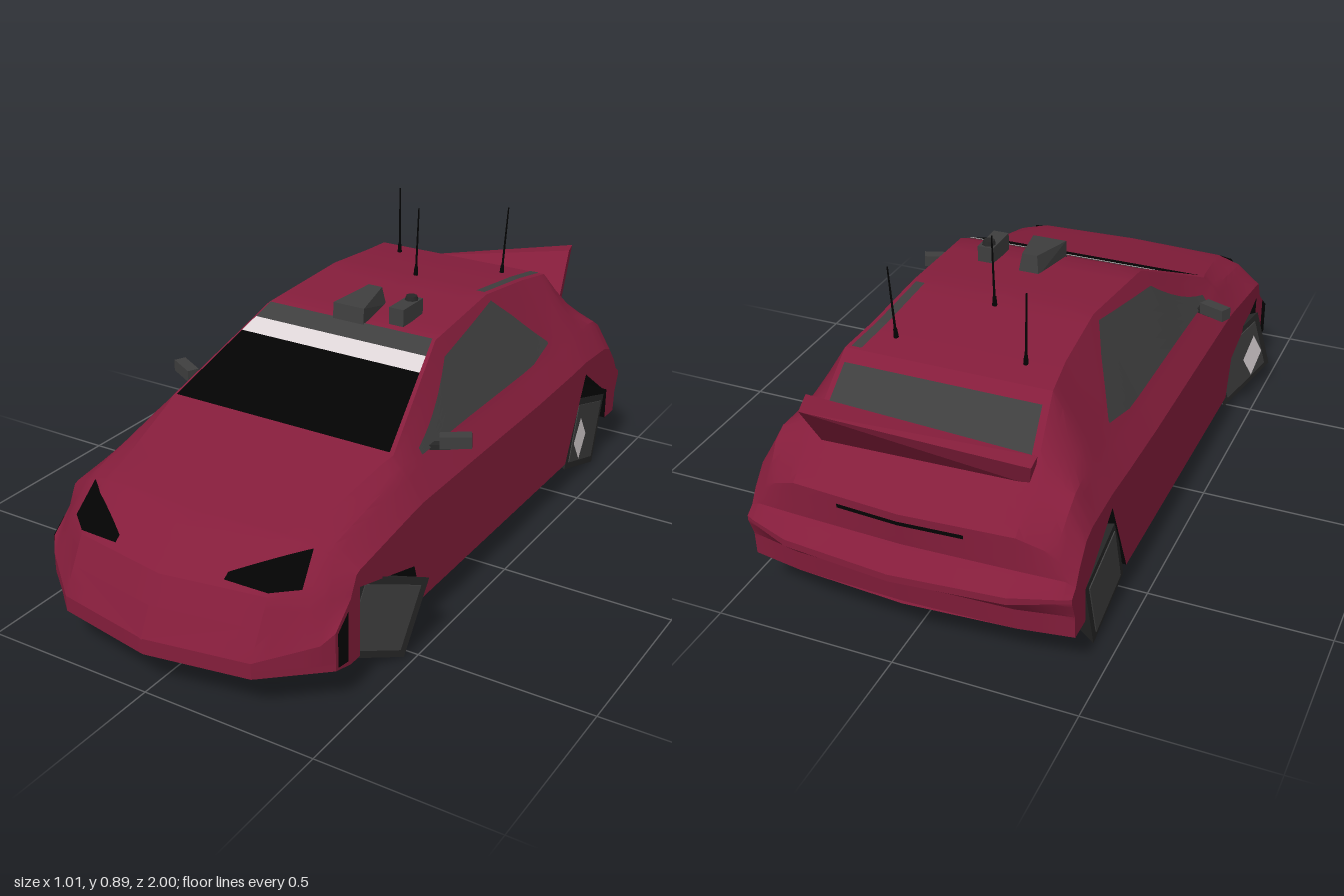
import * as THREE from 'three';
import { toCreasedNormals } from 'three/addons/utils/BufferGeometryUtils.js';
import { ConvexGeometry } from 'three/addons/geometries/ConvexGeometry.js';

const material = (name, color, side = THREE.FrontSide) => {
  const m = new THREE.MeshStandardMaterial({ color, side });
  m.name = name;
  return m;
};

// Body stations, front to back: z, top height, top half width,
// belt half width, belt height, sill height, corner sweep
const STATIONS = [
  [1.0, 0.165, 0.29, 0.42, 0.2, 0.12, 0.17],
  [0.92, 0.31, 0.29, 0.4, 0.3, 0.1, 0.16],
  [0.76, 0.405, 0.3, 0.37, 0.39, 0.1, 0.04],
  [0.7, 0.42, 0.305, 0.375, 0.4, 0.1],
  [0.7, 0.42, 0.305, 0.375, 0.4, 0.3],
  [0.43, 0.49, 0.345, 0.385, 0.46, 0.22],
  [0.39, 0.5, 0.355, 0.387, 0.467, 0.1],
  [0.03, 0.675, 0.275, 0.387, 0.47, 0.1],
  [-0.3, 0.698, 0.26, 0.387, 0.47, 0.1],
  [-0.52, 0.675, 0.27, 0.387, 0.48, 0.1],
  [-0.64, 0.66, 0.285, 0.39, 0.49, 0.36],
  [-0.78, 0.52, 0.3, 0.4, 0.48, 0.26],
  [-0.82, 0.485, 0.3, 0.4, 0.455, 0.24],
  [-0.82, 0.485, 0.3, 0.4, 0.455, 0.14],
  [-0.93, 0.41, 0.3, 0.39, 0.37, 0.14, 0.06],
  [-0.92, 0.315, 0.3, 0.42, 0.305, 0.14, 0.03],
  [-0.93, 0.311, 0.3, 0.42, 0.301, 0.205, 0.036],
  [-1.0, 0.28, 0.3, 0.42, 0.275, 0.26, 0.08],
];
const SIDE = 0.445;

// Half ring of one station, from top centre round to bottom centre
const halfRing = ([z, top, topX, beltX, belt, sill, sweep = 0]) => {
  const shoulder = belt - 0.4 * (belt - 0.27);
  return [[0, top], [topX, top], [beltX, belt], [SIDE, shoulder], [SIDE, sill], [topX, sill], [0, sill]].map(([x, y]) =>
    new THREE.Vector3(x, y, z - Math.sign(z) * sweep * (x / 0.43) ** 3));
};
// End rings are flattened to a line to close the body
const closed = (station) => halfRing(station).map((p) => p.setY((station[1] + station[5]) / 2));
const HALVES = [closed(STATIONS[0]), ...STATIONS.map(halfRing), closed(STATIONS[STATIONS.length - 1])];
const flip = (p) => new THREE.Vector3(-p.x, p.y, p.z);

// Point on the body skin at station s and column u (negative u is the -x side)
function onSkin(s, u) {
  const a = Math.abs(u);
  const j = Math.min(Math.floor(s), HALVES.length - 2), i = Math.min(Math.floor(a), 5);
  const row = (r) => r[i].clone().lerp(r[i + 1], a - i);
  const p = row(HALVES[j]).lerp(row(HALVES[j + 1]), s - j);
  return u < 0 ? flip(p) : p;
}

// Triangles of an n by n grid over point(a, b), with a and b from 0 to 1
function grid(point, n) {
  const pts = [];
  for (let k = 0; k < n * n; k++) {
    const a = Math.floor(k / n), b = k % n;
    const [p, q, r, s] = [[a, b], [a, b + 1], [a + 1, b + 1], [a + 1, b]].map(([c, d]) => point(c / n, d / n));
    pts.push(p, q, r, p, r, s);
  }
  return pts;
}

// Reverse the corner order of every triangle
const reversed = (pts) => pts.map((_, k) => pts[k - (k % 3) + 2 - (k % 3)]);

function trianglesToGeometry(points) {
  const g = new THREE.BufferGeometry().setFromPoints(points);
  g.computeVertexNormals();
  return g;
}

export function createModel() {
  const car = new THREE.Group();
  car.name = 'car';
  const red = material('body red', 0x841d3b);
  const black = material('black', 0x030303, THREE.DoubleSide);
  const grey = material('grey glass and trim', 0x3e3e3e, THREE.DoubleSide);
  const dark = material('tyre grey', 0x262626);
  const pale = material('pale', 0xdcd4d6, THREE.DoubleSide);

  const add = (name, geometry, mat, parent = car) => {
    const mesh = new THREE.Mesh(geometry, mat);
    mesh.name = name;
    parent.add(mesh);
  };

  // Body skin and dark underside
  const skin = [], under = [];
  for (let j = 0; j < HALVES.length - 1; j++) {
    for (let i = 0; i < 6; i++) {
      const pts = grid((a, b) => onSkin(j + a, i + b), 4);
      const list = i >= 4 && j >= 2 && j <= 13 ? under : skin;
      list.push(...pts, ...reversed(pts.map(flip)));
    }
  }
  add('body', toCreasedNormals(trianglesToGeometry(skin), 0.4), red);
  add('underside', trianglesToGeometry(under), black);
  add('underbody', new THREE.BoxGeometry(0.68, 0.2, 1.6).translate(0, 0.197, 0.01), black);
  add('rearArchInner', new THREE.BoxGeometry(0.68, 0.2, 0.38).translate(0, 0.3, -0.65), black);

  // Thin plate lying on the skin; each edge is [station, column, station, column]
  const patch = (name, mat, edges, offset) => {
    const lift = new THREE.Vector3(...offset);
    const mix = THREE.MathUtils.lerp;
    let pts = edges.slice(1).flatMap((next, k) => grid((a, b) => {
      const [s0, u0, s1, u1] = edges[k].map((v, c) => mix(v, next[c], a));
      return onSkin(mix(s0, s1, b), mix(u0, u1, b)).add(lift);
    }, 6));
    const normal = pts[1].clone().sub(pts[0]).cross(pts[2].clone().sub(pts[0]));
    if (normal.dot(lift) < 0) pts = reversed(pts);
    add(name, trianglesToGeometry(pts), mat);
  };
  const band = (name, mat, s0, s1, u, offset) => patch(name, mat, [[s0, -u, s0, u], [s1, -u, s1, u]], offset);

  // Front and rear glass, boot slot and roof strip
  band('windscreen', black, 7.01, 7.69, 0.97, [0, 0.004, 0.003]);
  band('sunStrip', pale, 7.69, 7.84, 0.97, [0, 0.004, 0.003]);
  band('windscreenTopTrim', grey, 7.84, 8, 0.97, [0, 0.004, 0.003]);
  band('rearWindow', grey, 11.2, 11.97, 0.94, [0, 0.004, -0.004]);
  band('bootSlot', black, 15.2, 15.32, 0.57, [0, 0.002, -0.008]);
  patch('roofStrip', grey, [[9.05, 0.85, 9.05, 0.95], [10, 0.85, 10, 0.95], [10.95, 0.85, 10.95, 0.95]], [0, 0.003, 0]);

  for (const side of [-1, 1]) {
    const mirrored = (edges) => edges.map(([s0, u0, s1, u1]) => [s0, side * u0, s1, side * u1]);
    patch('sideWindow', grey, mirrored([
      [7.25, 1.97, 7.25, 1.75], [8, 1.98, 8, 1.22], [9, 1.98, 9, 1.08],
      [9.32, 1.98, 9.32, 1.33], [9.86, 1.89, 9.86, 1.86],
    ]), [side * 0.005, 0.003, 0]);
    patch('headlight', black, mirrored([
      [2.12, 0.58, 2.25, 0.58], [2.06, 1, 2.76, 1], [2.15, 1.6, 2.98, 1.6],
    ]), [0, 0.005, 0.005]);
    patch('bumperVent', black, mirrored([[1.08, 3.05, 1.08, 3.9], [1.75, 3.05, 1.75, 3.9]]), [side * 0.005, 0, 0.002]);

    // Door mirror
    const mirror = new THREE.Group();
    mirror.name = 'doorMirror';
    mirror.position.set(side * 0.443, 0.492, 0.215);
    mirror.rotation.set(0, side * 0.45, side * 0.06);
    add('mirrorHead', new THREE.BoxGeometry(0.085, 0.034, 0.035), grey, mirror);
    add('mirrorArm', new THREE.BoxGeometry(0.07, 0.014, 0.025).translate(-side * 0.05, -0.014, 0), dark, mirror);
    car.add(mirror);

    // Wheels: four-sided and narrowing inwards, the front pair steered
    for (const front of [true, false]) {
      const wheel = new THREE.Group();
      const spin = front ? 0.44 : 0.49;
      wheel.name = front ? 'frontWheel' : 'rearWheel';
      wheel.position.set(side * (front ? 0.4 : 0.39), 0.152, front ? 0.57 : -0.67);
      wheel.rotation.set(spin, front ? -0.42 : 0, 0, 'YXZ');
      const block = (outer, inner, width) => {
        const g = new THREE.CylinderGeometry(outer, inner, width, 4).toNonIndexed()
          .rotateZ(-Math.PI / 2).rotateY(side < 0 ? Math.PI : 0);
        g.computeVertexNormals();
        return g;
      };
      add('tyre', block(0.16, 0.1, 0.1), dark, wheel);
      add('rim', block(0.13, 0.13, 0.008).translate(side * 0.049, 0, 0), grey, wheel);
      if (front !== side > 0) {
        add('hubPlate', new THREE.CircleGeometry(0.072, 4).rotateZ(Math.PI / 2).scale(0.62, 1, 1)
          .rotateY(side * Math.PI / 2).rotateX(-spin).translate(side * 0.056, 0.02, 0.045), pale, wheel);
      }
      car.add(wheel);
    }
  }

  const vectors = (list) => list.map((p) => new THREE.Vector3(...p));

  // Front bumper lip
  const [left, low, mid, right] = vectors([[-0.27, 0.243, 0.918], [0, 0.165, 1.003], [0, 0.243, 0.965], [0.27, 0.243, 0.918]]);
  add('bumperLip', trianglesToGeometry([left, low, mid, mid, low, right]), red);

  // Skewed rear wing, tall at one end
  add('rearWing', new ConvexGeometry(vectors([
    [0.29, 0.50, -0.74], [0.26, 0.66, -0.88], [0.24, 0.655, -0.95], [0.27, 0.47, -0.80],
    [-0.29, 0.51, -0.76], [-0.305, 0.565, -0.785], [-0.305, 0.555, -0.825], [-0.29, 0.49, -0.80],
  ])), red);

  // Roof scoop, narrowing to the back
  const scoop = vectors([[0.05, 0.67, 0.04], [0.05, 0.722, 0.035], [0.022, 0.735, -0.11], [0.03, 0.68, -0.12]]);
  add('roofScoop', new ConvexGeometry([...scoop, ...scoop.map(flip)]), grey);

  // Small roof unit
  add('roofUnit', new THREE.BoxGeometry(0.046, 0.05, 0.11).translate(0.136, 0.705, -0.05), grey);
  add('roofUnitCap', new THREE.CylinderGeometry(0.016, 0.02, 0.012, 8).translate(0.136, 0.736, -0.08), dark);

  // Aerials: one tall in the middle, two leaning out behind
  for (const side of [-1, 0, 1]) {
    const aerial = new THREE.Group();
    aerial.name = 'aerial';
    aerial.position.set(side * 0.18, side ? 0.665 : 0.69, side ? -0.56 : -0.345);
    aerial.rotation.set(-0.06, 0, -side * 0.04);
    add('aerialRod', new THREE.CylinderGeometry(0.002, 0.0035, 0.21, 6).translate(0, 0.105, 0), black, aerial);
    add('aerialBase', new THREE.CylinderGeometry(0.005, 0.008, 0.04, 6).translate(0, 0.01, 0), black, aerial);
    car.add(aerial);
  }
  return car;
}
